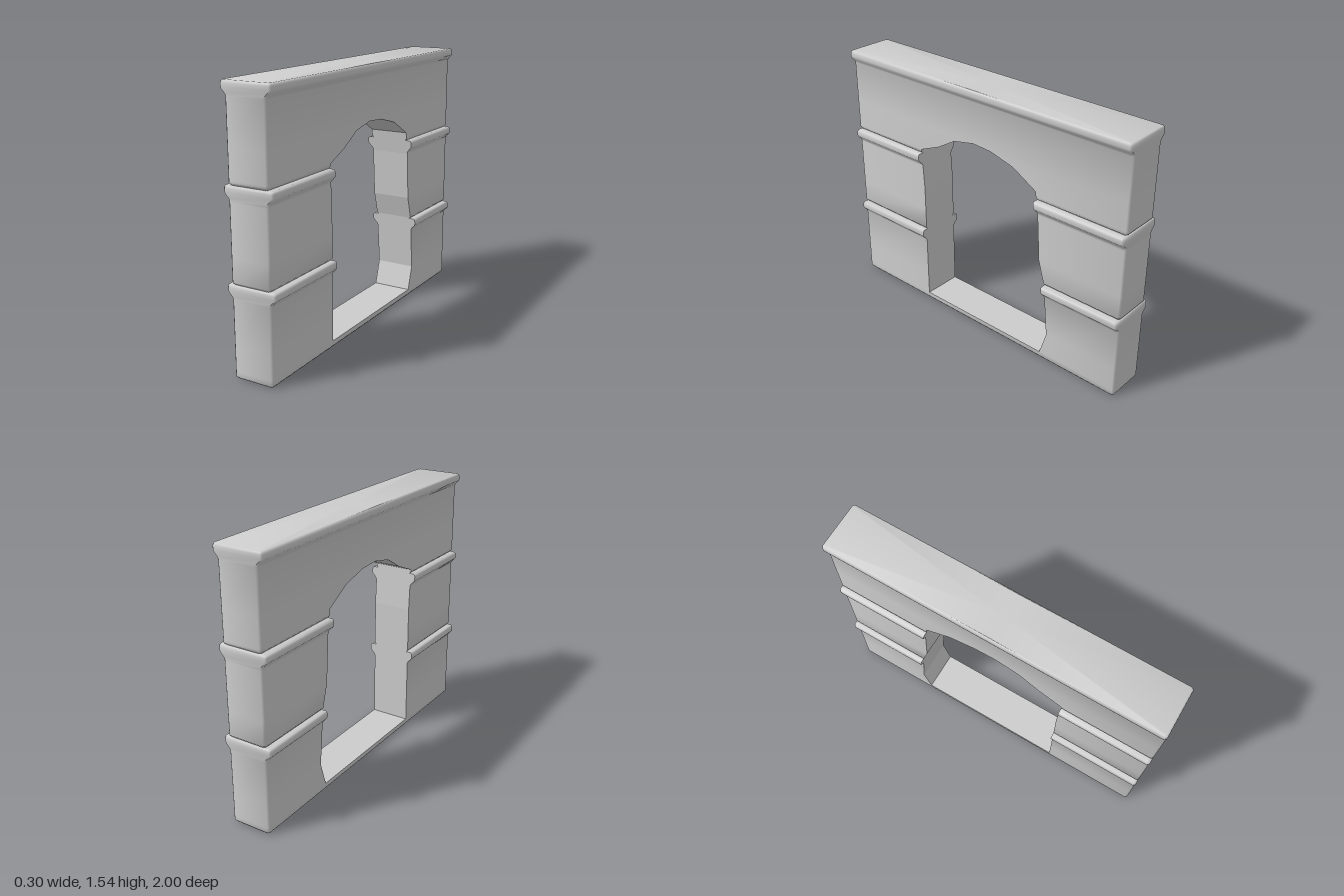
import * as THREE from 'three';
import { toCreasedNormals } from 'three/addons/utils/BufferGeometryUtils.js';

const BEVEL = 0.01;
const SILL = 0.04, APEX = 1.22;

// Doorway edges as [y, z], from the sill up to the apex
const FRONT_EDGE = [[SILL, 0.43], [0.8, 0.43], [1.055, 0.445], [1.115, 0.3], [1.19, 0.175], [APEX, 0.03]];
const BACK_EDGE = [[SILL, -0.48], [0.185, -0.525], [0.52, -0.495], [0.66, -0.455], [0.945, -0.437],
  [1.08, -0.417], [1.17, -0.26], [1.212, -0.1], [APEX, 0.03]];

// One course as [y, half width, end inset]: plain body, flared moulding, rounded top
const COURSE = [[0, 0.11, 0.01], [0.012, 0.12, 0], [0.438, 0.12, 0], [0.45, 0.127, 0], [0.472, 0.148, 0],
  [0.48, 0.15, 0], [0.5, 0.15, 0], [0.51, 0.147, 0.003], [0.515, 0.14, 0.01]];
const COURSE_HEIGHT = 0.515;

function edgeAt(edge, y) {
  for (let i = 1; i < edge.length; i++) {
    const [y0, z0] = edge[i - 1], [y1, z1] = edge[i];
    if (y <= y1) return z0 + (z1 - z0) * (y - y0) / (y1 - y0);
  }
  return edge[edge.length - 1][1];
}

// Stack three courses, adding a level at every doorway corner
function buildLevels() {
  const levels = [];
  for (let k = 0; k < 3; k++) {
    for (const [y, w, e] of COURSE) levels.push([y + k * COURSE_HEIGHT, w, e]);
  }
  const cuts = new Set([...FRONT_EDGE, ...BACK_EDGE].map(p => p[0]));
  for (const y of cuts) {
    const i = levels.findIndex(l => l[0] > y);
    const a = levels[i - 1], b = levels[i];
    if (Math.abs(a[0] - y) < 1e-6) continue;
    const t = (y - a[0]) / (b[0] - a[0]);
    levels.splice(i, 0, [y, a[1] + (b[1] - a[1]) * t, a[2] + (b[2] - a[2]) * t]);
  }
  return levels;
}

function quad(out, a, b, c, d) {
  out.push(...a, ...b, ...c, ...a, ...c, ...d);
}

// Join matching rows of points, lowest row first
function skin(out, rows) {
  for (let i = 1; i < rows.length; i++) {
    for (let j = 1; j < rows[i].length; j++) {
      quad(out, rows[i - 1][j - 1], rows[i - 1][j], rows[i][j], rows[i][j - 1]);
    }
  }
}

// Plan outlines at one level
const frontPier = ([y, w, e], z) => [
  [-w, y, z], [-w, y, 1 - e - BEVEL], [-w + BEVEL, y, 1 - e],
  [w - BEVEL, y, 1 - e], [w, y, 1 - e - BEVEL], [w, y, z]];
const backPier = ([y, w, e], z) => [
  [w, y, z], [w, y, -1 + e + BEVEL], [w - BEVEL, y, -1 + e],
  [-w + BEVEL, y, -1 + e], [-w, y, -1 + e + BEVEL], [-w, y, z]];

function toGeometry(points) {
  const g = new THREE.BufferGeometry();
  g.setAttribute('position', new THREE.Float32BufferAttribute(points, 3));
  g.computeVertexNormals();
  return g;
}

// Fan closing the top or bottom outline
function cap(out, level, up) {
  const ring = [...frontPier(level, 0), ...backPier(level, 0)];
  const centre = [0, level[0], 0];
  ring.forEach((p, i) => {
    const q = ring[(i + 1) % ring.length];
    if (p[0] === q[0] && p[2] === q[2]) return;
    out.push(...centre, ...(up ? p : q), ...(up ? q : p));
  });
}

export function createModel() {
  const group = new THREE.Group();
  const levels = buildLevels();
  const opening = levels.filter(l => l[0] >= SILL && l[0] <= APEX);
  const solids = [levels.filter(l => l[0] <= SILL), levels.filter(l => l[0] >= APEX)];
  const wall = [], reveal = [];

  // Solid bands under and over the doorway
  for (const band of solids) {
    skin(wall, band.map(l => frontPier(l, 0.03)));
    skin(wall, band.map(l => backPier(l, 0.03)));
  }

  // Piers on both sides of the doorway
  skin(wall, opening.map(l => frontPier(l, edgeAt(FRONT_EDGE, l[0]))));
  skin(wall, opening.map(l => backPier(l, edgeAt(BACK_EDGE, l[0]))));
  cap(wall, levels[0], false);
  cap(wall, levels[levels.length - 1], true);

  // Jambs, arch underside and sill
  skin(reveal, opening.map(l => {
    const z = edgeAt(FRONT_EDGE, l[0]);
    return [[l[1], l[0], z], [-l[1], l[0], z]];
  }));
  skin(reveal, opening.map(l => {
    const z = edgeAt(BACK_EDGE, l[0]);
    return [[-l[1], l[0], z], [l[1], l[0], z]];
  }));
  const w = opening[0][1], zf = FRONT_EDGE[0][1], zb = BACK_EDGE[0][1];
  quad(reveal, [-w, SILL, zf], [w, SILL, zf], [w, SILL, zb], [-w, SILL, zb]);

  const wallMesh = new THREE.Mesh(toCreasedNormals(toGeometry(wall), 0.9),
    new THREE.MeshStandardMaterial({ color: 0xcccccc }));
  wallMesh.name = 'wall';
  const revealMesh = new THREE.Mesh(toGeometry(reveal),
    new THREE.MeshStandardMaterial({ color: 0xcccccc, flatShading: true }));
  revealMesh.name = 'doorwayReveal';
  group.add(wallMesh, revealMesh);
  return group;
}
